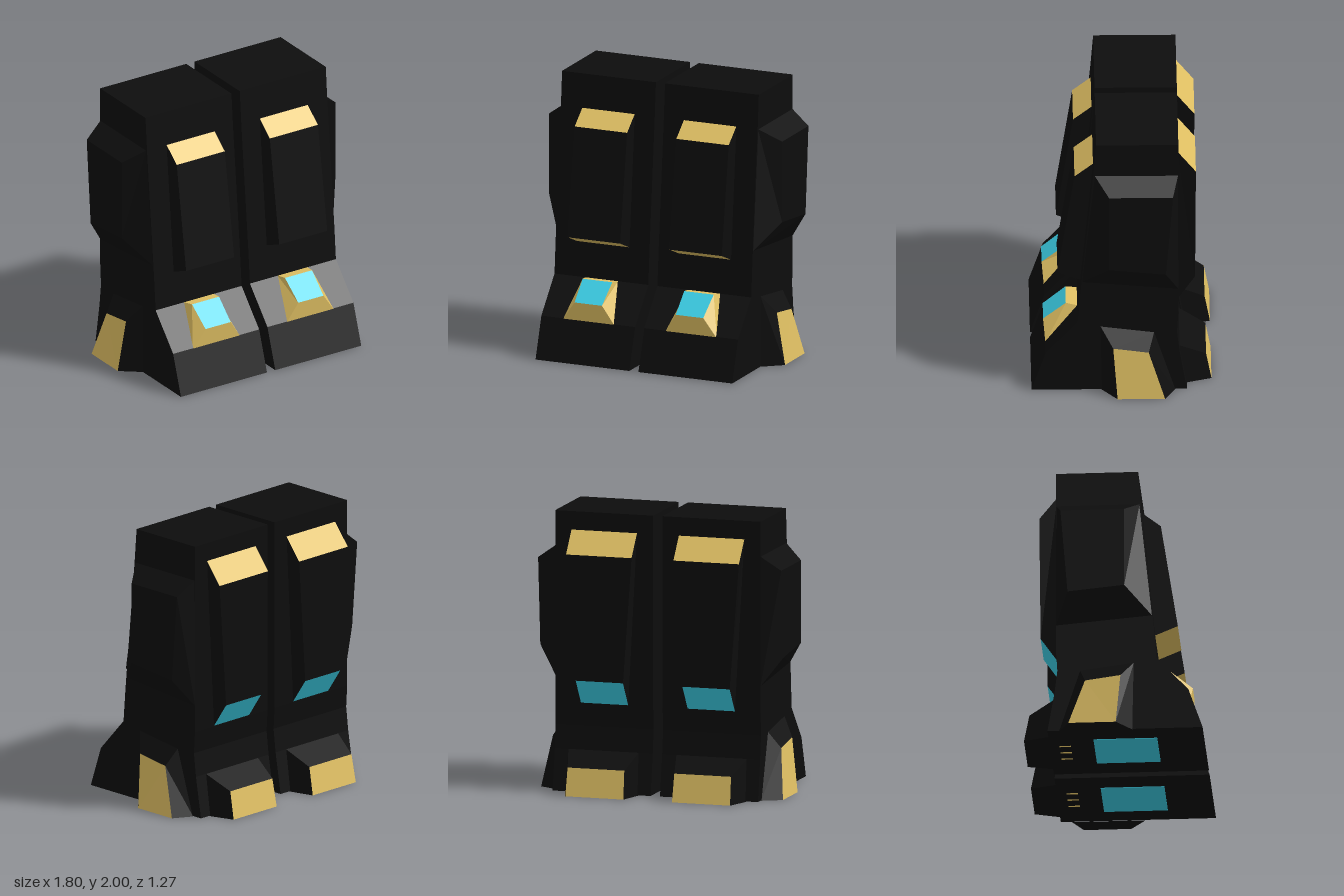
import * as THREE from 'three';

const mat = (name, color) => {
  const m = new THREE.MeshStandardMaterial({ color });
  m.name = name;
  return m;
};

export function createModel() {
  const mats = [mat('black', 0x0d0d0d), mat('gold', 0xe0c063), mat('cyan', 0x3ccfe6)];
  const K = 0, G = 1, C = 2;

  // Raised block from a base quad to an outer quad, both anticlockwise seen from outside.
  // colours: outer face, then the side faces at edges 0-1, 1-2, 2-3, 3-0.
  function raised(name, base, outer, colours, side) {
    const faces = [outer];
    for (let i = 0; i < 4; i++) {
      const j = (i + 1) % 4;
      faces.push([base[i], base[j], outer[j], outer[i]]);
    }
    const pos = [];
    const g = new THREE.BufferGeometry();
    faces.forEach((f, n) => {
      const order = side > 0 ? [0, 1, 2, 0, 2, 3] : [0, 2, 1, 0, 3, 2];
      order.forEach(k => pos.push(f[k][0] * side, f[k][1], f[k][2]));
      g.addGroup(n * 6, 6, colours[n]);
    });
    g.setAttribute('position', new THREE.Float32BufferAttribute(pos, 3));
    g.computeVertexNormals();
    const mesh = new THREE.Mesh(g, mats);
    mesh.name = name;
    return mesh;
  }

  // Side outline of the leg and foot as (z, y)
  const outline = new THREE.Shape([
    [0.635, 0.004], [0.535, 0.30], [0.31, 0.55], [0.29, 0.80], [0.20, 1.75], [0.18, 2],
    [-0.40, 2], [-0.40, 0.63], [-0.39, 0.47], [-0.41, 0.30], [-0.46, 0.004],
  ].map(p => new THREE.Vector2(...p)));

  function leg(name, s) {
    const leg = new THREE.Group();
    leg.name = name;

    const g = new THREE.ExtrudeGeometry(outline, { depth: 0.725, bevelEnabled: false });
    g.rotateY(-Math.PI / 2);
    g.translate(s > 0 ? 0.76 : -0.035, 0, 0);
    const body = new THREE.Mesh(g, mats[K]);
    body.name = 'legBody';
    leg.add(body);

    // Shin plate with gold ends
    leg.add(raised('shinPlate',
      [[0.19, 0.80, 0.285], [0.595, 0.80, 0.285], [0.595, 1.755, 0.198], [0.19, 1.755, 0.198]],
      [[0.19, 0.87, 0.45], [0.595, 0.87, 0.45], [0.595, 1.65, 0.33], [0.19, 1.65, 0.33]],
      [K, G, K, G, K], s));

    // Calf plate, tapering downwards
    leg.add(raised('calfPlate',
      [[0.57, 0.63, -0.398], [0.22, 0.63, -0.398], [0.155, 1.87, -0.398], [0.64, 1.87, -0.398]],
      [[0.57, 0.81, -0.52], [0.22, 0.81, -0.52], [0.155, 1.71, -0.525], [0.64, 1.71, -0.525]],
      [K, C, K, G, K], s));

    // Outer side plate
    leg.add(raised('sidePlate',
      [[0.758, 0.88, 0.28], [0.758, 0.82, -0.40], [0.758, 1.75, -0.398], [0.758, 1.75, 0.19]],
      [[0.90, 1.06, 0.09], [0.90, 1.02, -0.31], [0.90, 1.65, -0.36], [0.90, 1.65, 0.09]],
      [K, K, K, K, K], s));

    // Ankle guard with a gold face
    leg.add(raised('ankleGuard',
      [[0.758, 0, 0.14], [0.758, 0, -0.38], [0.758, 0.47, -0.23], [0.758, 0.52, 0.15]],
      [[0.895, 0, 0.03], [0.895, 0, -0.305], [0.845, 0.35, -0.19], [0.845, 0.385, 0.06]],
      [G, K, K, K, K], s));

    // Heel block with a gold back
    leg.add(raised('heel',
      [[0.67, 0, -0.455], [0.13, 0, -0.455], [0.14, 0.30, -0.408], [0.66, 0.30, -0.408]],
      [[0.61, 0, -0.635], [0.18, 0, -0.635], [0.185, 0.20, -0.597], [0.605, 0.20, -0.597]],
      [G, K, K, K, K], s));

    // Gold instep block with a cyan face
    leg.add(raised('instep',
      [[0.195, 0.29, 0.535], [0.595, 0.29, 0.535], [0.52, 0.55, 0.308], [0.27, 0.55, 0.308]],
      [[0.285, 0.43, 0.55], [0.497, 0.43, 0.55], [0.506, 0.562, 0.39], [0.278, 0.562, 0.39]],
      [C, G, G, G, G], s));

    // Sole pad and small slits under the foot
    const plate = (n, w, d, x, z, c) => {
      const m = new THREE.Mesh(new THREE.BoxGeometry(w, 0.006, d), mats[c]);
      m.position.set(x * s, 0.003, z);
      m.name = n;
      leg.add(m);
    };
    plate('solePad', 0.395, 0.45, 0.405, 0.08, C);
    for (const x of [0.29, 0.395, 0.5]) plate('soleSlit', 0.012, 0.08, x, -0.35, G);
    return leg;
  }

  const model = new THREE.Group();
  model.name = 'armouredLegs';
  model.add(leg('leftLeg', 1), leg('rightLeg', -1));
  return model;
}
